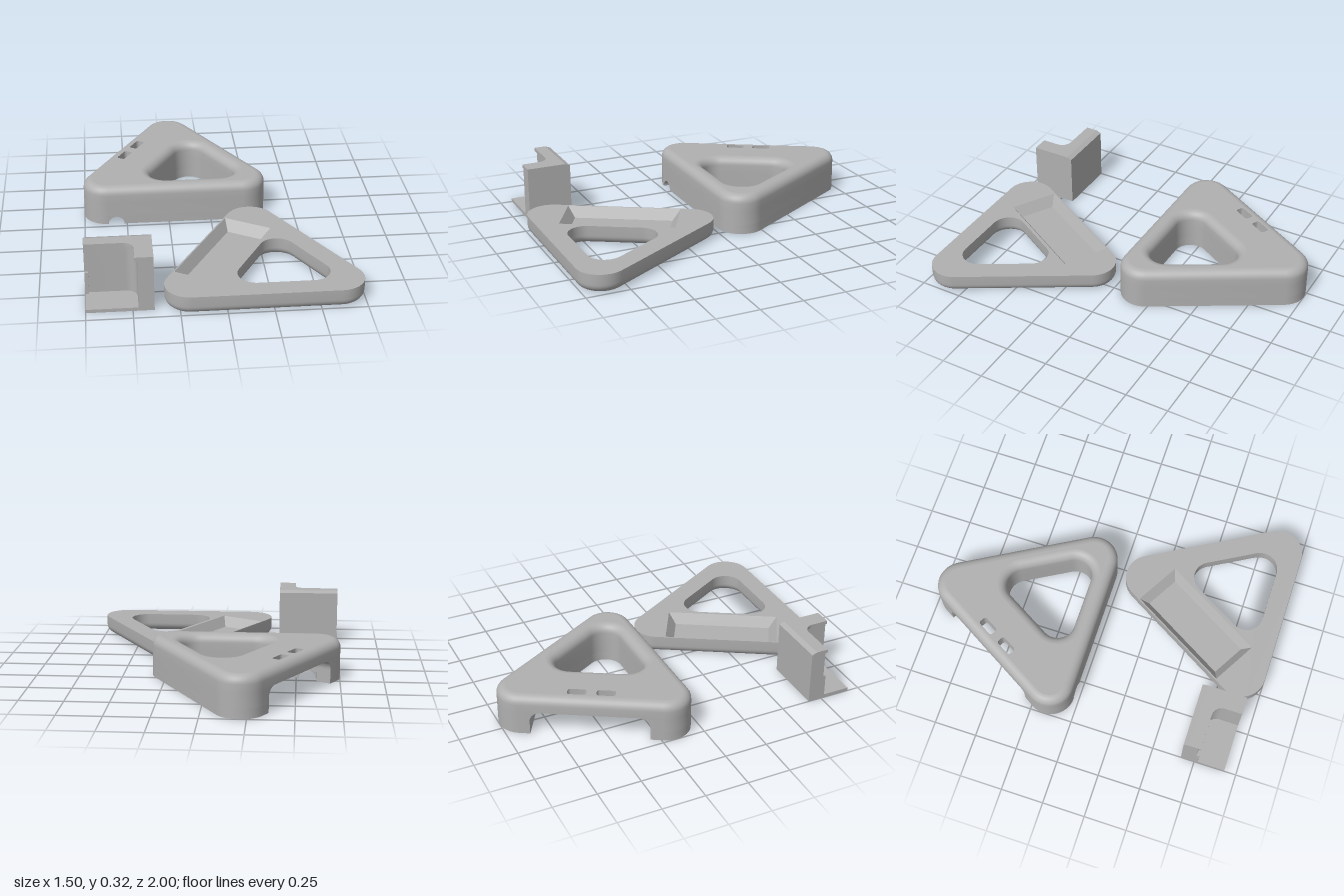
import * as THREE from 'three';
import { toCreasedNormals } from 'three/addons/utils/BufferGeometryUtils.js';

// Plan points are [x, v] with v = -z, listed counter-clockwise seen from above.
const ARC = 12;
const OUTER = [[-0.61, 0.17], [0.19, 0.17], [-0.21, 0.86]];       // corner centres of the triangle
const INNER = [[-0.25, 0.245], [0.055, 0.245], [-0.0975, 0.51]];  // corner centres of its opening
const BAY = [-0.3975, 0.515];                                     // centre of the long bay
const BAY_L = 0.3315, BAY_W = 0.1425;

export function createModel() {
  const root = new THREE.Group();
  const grey = new THREE.MeshStandardMaterial({ color: 0xb0b0b0 });
  grey.name = 'light grey';

  const add = (group, name, geometry) => {
    const mesh = new THREE.Mesh(geometry, grey);
    mesh.name = name;
    group.add(mesh);
    return mesh;
  };

  // Convex outline with every corner rounded by r
  const rounded = (centres, r) => centres.flatMap((c, i) => {
    const n = centres.length, p = centres[(i + n - 1) % n], q = centres[(i + 1) % n];
    const a0 = Math.atan2(p[0] - c[0], c[1] - p[1]);
    let a1 = Math.atan2(c[0] - q[0], q[1] - c[1]);
    if (a1 < a0) a1 += Math.PI * 2;
    return Array.from({ length: ARC + 1 }, (_, k) => {
      const a = a0 + (a1 - a0) * k / ARC;
      return [c[0] + r * Math.cos(a), c[1] + r * Math.sin(a)];
    });
  });
  const circle = (c, r) => Array.from({ length: 24 }, (_, k) =>
    [c[0] + r * Math.cos(k * Math.PI / 12), c[1] + r * Math.sin(k * Math.PI / 12)]);
  // Rectangle turned to run along the triangle's left side
  const slanted = (c, l, w) => [[-1, 1], [1, 1], [1, -1], [-1, -1]].map(([a, b]) =>
    [c[0] + 0.5 * a * l + 0.866 * b * w, c[1] + 0.866 * a * l - 0.5 * b * w]);

  const shapeOf = (pts, holes = []) => {
    const toVec = list => list.map(p => new THREE.Vector2(p[0], p[1]));
    const shape = new THREE.Shape(toVec(pts));
    shape.holes = holes.map(h => new THREE.Path(toVec(h)));
    return shape;
  };

  // Wall through a stack of outlines; descending heights make it face inward
  const band = levels => {
    const pos = [], idx = [], n = levels[0].pts.length;
    levels.forEach(({ pts, y }) => pts.forEach(p => pos.push(p[0], y, -p[1])));
    for (let k = 0; k < levels.length - 1; k++) {
      for (let i = 0; i < n; i++) {
        const a = k * n + i, b = k * n + (i + 1) % n;
        idx.push(a, b, b + n, a, b + n, a + n);
      }
    }
    const g = new THREE.BufferGeometry();
    g.setAttribute('position', new THREE.Float32BufferAttribute(pos, 3));
    g.setIndex(idx);
    return toCreasedNormals(g, 0.5);
  };
  const cap = (y, pts, holes, up) => {
    const g = new THREE.ShapeGeometry(shapeOf(pts, holes)).rotateX(-Math.PI / 2).translate(0, y, 0);
    if (!up) {
      g.index.array.reverse();
      g.computeVertexNormals();
    }
    return g;
  };
  const slab = (y0, y1, pts, holes) => toCreasedNormals(
    new THREE.ExtrudeGeometry(shapeOf(pts, holes), { depth: y1 - y0, bevelEnabled: false })
      .rotateX(-Math.PI / 2).translate(0, y0, 0), 0.5);

  // Quarter-round edge: inset t and height, from the straight wall to the flat face
  const FILLET = 0.05;
  const edge = Array.from({ length: 8 }, (_, k) => {
    const a = k / 7 * Math.PI / 2;
    return [FILLET * (1 - Math.cos(a)), FILLET * Math.sin(a)];
  });

  // ---- Upper shell: rounded top, bay open to the left side ----
  const shell = new THREE.Group();
  shell.name = 'upperShell';
  root.add(shell);
  const H = 0.235, CEIL = 0.14, CH = 0.055;
  const out = rounded(OUTER, 0.14), hole = rounded(INNER, 0.1);
  const slots = [[-0.415, 0.615], [-0.495, 0.475]].map(c => rounded(slanted(c, 0.0375, 0.01), 0.015));
  const topLevels = (centres, r, s) => [{ pts: rounded(centres, r), y: CEIL },
    ...edge.map(([t, h]) => ({ pts: rounded(centres, r - s * t), y: H - FILLET + h }))];
  add(shell, 'shellOuterWall', band(topLevels(OUTER, 0.14, 1)));
  add(shell, 'shellInnerWall', band(topLevels(INNER, 0.1, -1).reverse()));
  add(shell, 'shellTop', cap(H, rounded(OUTER, 0.09), [rounded(INNER, 0.15), ...slots], true));
  add(shell, 'bayCeiling', cap(CEIL, out, [hole, ...slots], false));
  slots.forEach(s => add(shell, 'slotWall', band([{ pts: s, y: H }, { pts: s, y: CEIL }])));

  // Lower walls around the bay, with a cable channel through the front
  const [q2, q1] = slanted(BAY, BAY_L, BAY_W);
  const [, , p1, p2] = slanted(BAY, BAY_L, 0.15);
  const cx = -0.5625, cw = 0.055;
  const bayEnd = x => q2[1] + (q2[0] - x) * 0.577;
  add(shell, 'lowerWall', slab(CH, CEIL, [...out, p1, q1, q2, p2], [hole]));
  add(shell, 'lowerWallFoot', slab(0, CH, [[cx + cw, 0.03], ...out.slice(ARC + 1), p1, q1, q2,
    [cx + cw, bayEnd(cx + cw)]], [hole]));
  add(shell, 'cornerFoot', slab(0, CH, [...out.slice(0, ARC + 1), [cx - cw, 0.03],
    [cx - cw, bayEnd(cx - cw)], p2]));
  const arch = new THREE.Shape();
  arch.moveTo(-cw, 0).lineTo(-0.047, 0).absarc(0, 0, 0.047, Math.PI, 0, true)
    .lineTo(cw, 0).lineTo(cw, CH).lineTo(-cw, CH);
  add(shell, 'cableArch', toCreasedNormals(new THREE.ExtrudeGeometry(arch,
    { depth: 0.17, bevelEnabled: false, curveSegments: 16 }).translate(cx, 0, -0.2), 0.5));

  // Rounded ends of the bay ceiling
  const R = 0.06, L = 2 * BAY_L;
  for (const side of [0, 1]) {
    const s = new THREE.Shape();
    if (side) s.moveTo(L, CEIL).lineTo(L - R, CEIL).absarc(L - R, CEIL - R, R, Math.PI / 2, 0, true);
    else s.moveTo(0, CEIL).lineTo(0, CEIL - R).absarc(R, CEIL - R, R, Math.PI, Math.PI / 2, true);
    const m = add(shell, 'bayCorner', toCreasedNormals(
      new THREE.ExtrudeGeometry(s, { depth: 0.2925, bevelEnabled: false }), 0.5));
    m.position.set(q1[0], 0, -q1[1]);
    m.rotation.y = -Math.PI * 2 / 3;
  }

  // ---- Base: rounded underside, shallow tray on top ----
  const base = new THREE.Group();
  base.name = 'base';
  base.position.set(0.42, 0, 1.03);
  root.add(base);
  const BH = 0.11, FLOOR = 0.05;
  const lowLevels = (centres, r, s) => [
    ...edge.map(([t, h]) => ({ pts: rounded(centres, r - s * t), y: FILLET - h })).reverse(),
    { pts: rounded(centres, r), y: BH }];
  add(base, 'baseOuterWall', band(lowLevels(OUTER, 0.14, 1)));
  add(base, 'baseInnerWall', band(lowLevels(INNER, 0.1, -1).reverse()));
  const rim = slanted(BAY, BAY_L, BAY_W), floor = slanted(BAY, BAY_L - 0.045, BAY_W - 0.038);
  add(base, 'baseTop', cap(BH, out, [hole, rim], true));
  add(base, 'trayWall', band([{ pts: rim, y: BH }, { pts: floor, y: FLOOR }]));
  add(base, 'trayFloor', cap(FLOOR, floor, [], true));
  const dimples = OUTER.map(c => circle(c, 0.035));
  add(base, 'baseUnderside', cap(0, rounded(OUTER, 0.09), [rounded(INNER, 0.15), ...dimples], false));
  dimples.forEach(d => {
    add(base, 'dimpleWall', band([{ pts: d, y: 0.035 }, { pts: d, y: 0 }]));
    add(base, 'dimpleEnd', cap(0.035, d, [], false));
  });

  // ---- Corner bracket: base plate, L-shaped wall and overhanging lip ----
  const bracket = new THREE.Group();
  bracket.name = 'bracket';
  root.add(bracket);
  const X0 = -0.75, X1 = -0.385, Z0 = 0.67, Z1 = 0.93;
  const ell = (ix, iz, back, r) => {
    const bend = Array.from({ length: 9 }, (_, k) => {
      const a = k / 8 * Math.PI / 2;
      return [ix - r + r * Math.cos(a), -iz - r + r * Math.sin(a)];
    });
    return [[ix, -Z1], [X1, -Z1], [X1, -back], [X0, -back], [X0, -iz], ...bend.reverse()];
  };
  add(bracket, 'bracketPlate', new THREE.BoxGeometry(X1 - X0, 0.02, Z1 - Z0)
    .translate((X0 + X1) / 2, 0.01, (Z0 + Z1) / 2));
  add(bracket, 'bracketWall', slab(0.02, 0.305, ell(-0.47, 0.755, Z0, 0.06)));
  add(bracket, 'bracketLip', slab(0.305, 0.325, ell(-0.485, 0.77, Z0 + 0.03, 0.06)));
  const bevel = new THREE.BoxGeometry(X1 - X0, 0.02, 0.03);
  const bp = bevel.attributes.position;
  for (let i = 0; i < bp.count; i++) if (bp.getY(i) > 0 && bp.getZ(i) < 0) bp.setY(i, -0.002);
  bevel.computeVertexNormals();
  add(bracket, 'bracketBackEdge', bevel.translate((X0 + X1) / 2, 0.315, Z0 + 0.015));
  add(bracket, 'bracketRib', new THREE.BoxGeometry(0.02, 0.13, 0.015)
    .translate(X0 + 0.01, 0.085, 0.7625));

  return root;
}
